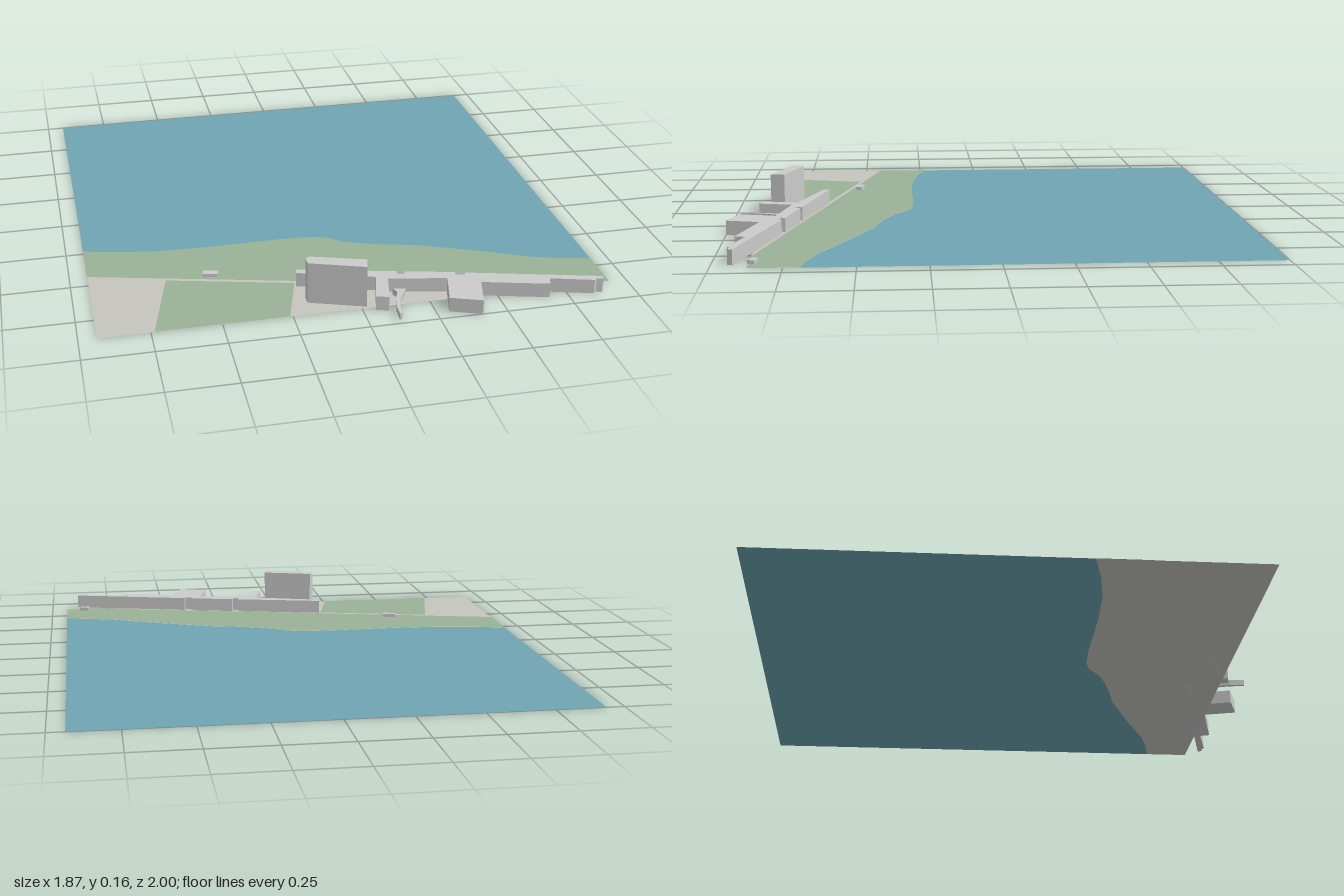
import * as THREE from 'three';

const material = (color) => new THREE.MeshStandardMaterial({ color, side: THREE.DoubleSide });

// Outline given as [x, z] pairs seen from above
function outline(points) {
  return new THREE.Shape(points.map(([x, z]) => new THREE.Vector2(x, -z)));
}

function sheet(name, points, y, mat) {
  const mesh = new THREE.Mesh(new THREE.ShapeGeometry(outline(points)).rotateX(-Math.PI / 2), mat);
  mesh.position.y = y;
  mesh.name = name;
  return mesh;
}

function block(name, points, height, mat) {
  const geometry = new THREE.ExtrudeGeometry(outline(points), { depth: height, bevelEnabled: false });
  const mesh = new THREE.Mesh(geometry.rotateX(-Math.PI / 2), mat);
  mesh.name = name;
  return mesh;
}

export function createModel() {
  const group = new THREE.Group();
  group.name = 'waterfrontSite';
  const W = 0.935, back = -1, front = 0.873;
  const water = material(0x6fa5b3), grass = material(0x9ab197);
  const paving = material(0xc6c5bf), concrete = material(0xcccccc);

  // Shoreline shared by the water, the land and the shore grass
  const shore = [
    [-W, 0.23], [-0.8, 0.265], [-0.655, 0.288], [-0.47, 0.296], [-0.18, 0.291], [-0.063, 0.297],
    [-0.005, 0.315], [0.05, 0.36], [0.12, 0.392], [0.2, 0.42], [0.32, 0.45], [0.56, 0.556],
    [0.73, 0.64], [0.85, 0.677], [W, 0.695],
  ];
  group.add(sheet('water', [...shore, [W, back], [-W, back]], 0, water));
  group.add(sheet('land', [...shore, [W, front], [-W, front]], 0, paving));

  // Grass either side of the road
  group.add(sheet('shoreGrass', [...shore, [W, front], [0.76, front], [-W, 0.434]], 0.001, grass));
  group.add(sheet('inlandGrass', [[-0.655, 0.522], [-0.197, 0.642], [-0.26, front], [-0.737, front]], 0.001, grass));

  // Long low building with notched back and front wings
  group.add(block('longBuilding', [
    [-0.19, 0.64], [0.165, 0.73], [0.162, 0.752], [0.187, 0.758], [0.193, 0.737], [0.37, 0.782],
    [0.367, 0.8], [0.4, 0.808], [0.405, 0.793], [0.885, 0.925], [0.878, 0.943], [0.855, 0.937],
    [0.845, 0.946], [0.69, 0.9], [0.678, 0.938], [0.44, 0.873], [0.407, 1], [0.295, 0.957],
    [0.33, 0.82], [0.12, 0.775], [0.09, 0.905], [0.045, 0.893], [0.08, 0.755], [-0.195, 0.665],
  ], 0.055, concrete));

  // Tall slab
  group.add(block('tower', [
    [-0.165, 0.742], [0.034, 0.808], [0.02, 0.863], [-0.18, 0.79], [-0.18, 0.757],
  ], 0.16, concrete));

  // Low entrance ramp with a curved tail
  group.add(block('ramp', [
    [0.132, 0.798], [0.178, 0.808], [0.142, 0.867], [0.128, 0.915], [0.118, 0.975],
    [0.11, 0.975], [0.114, 0.915], [0.128, 0.862], [0.142, 0.825],
  ], 0.024, concrete));

  // Small outbuildings
  group.add(block('leftOutbuilding', [
    [-0.512, 0.5], [-0.458, 0.513], [-0.465, 0.538], [-0.519, 0.524],
  ], 0.014, concrete));
  group.add(block('rightOutbuilding', [
    [0.84, 0.841], [0.877, 0.852], [0.872, 0.877], [0.834, 0.862],
  ], 0.014, concrete));

  return group;
}
